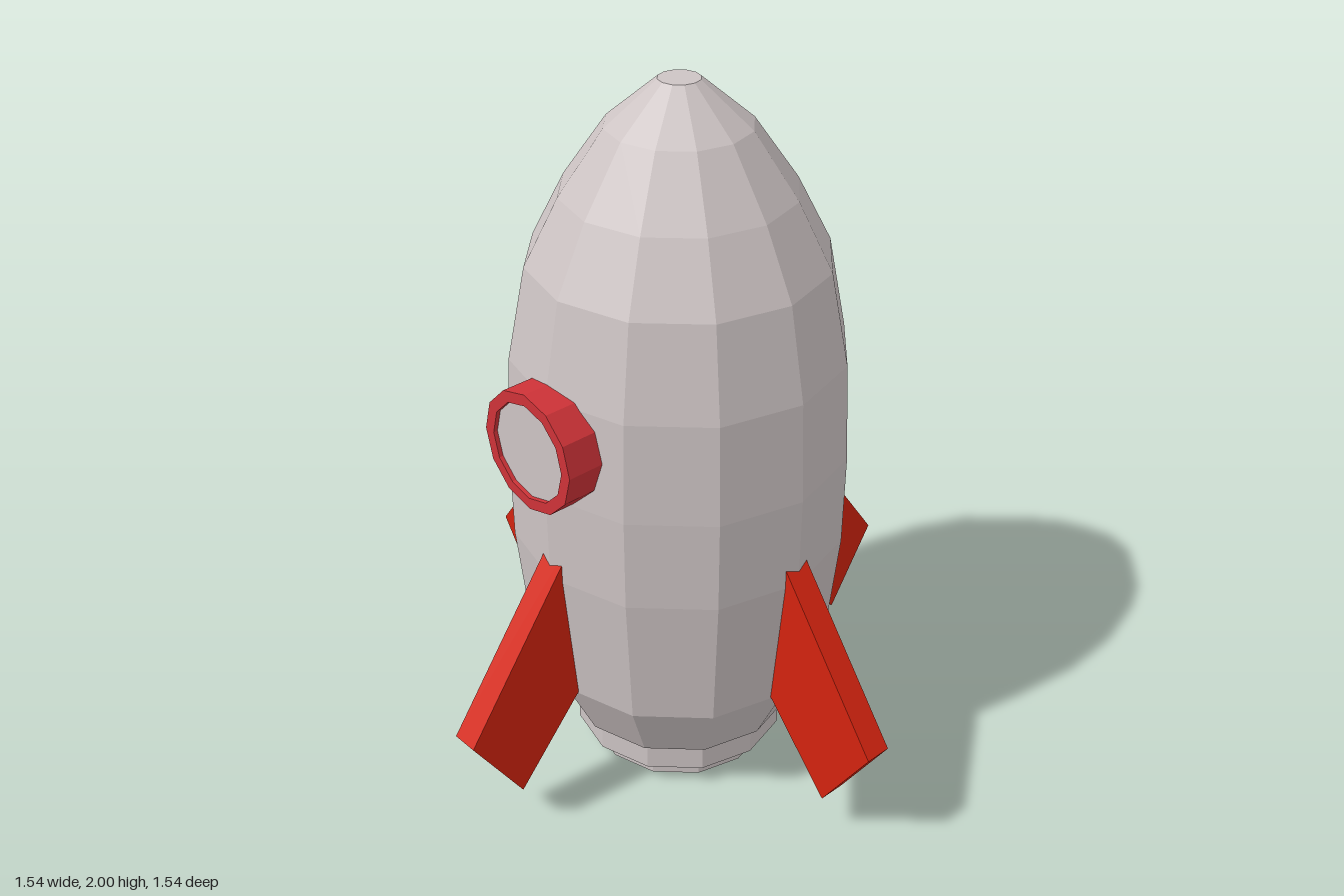
import * as THREE from 'three';

const SIDES = 12;

export function createModel() {
  const rocket = new THREE.Group();
  rocket.name = 'rocket';

  const flat = (name, color) => {
    const m = new THREE.MeshStandardMaterial({ color, flatShading: true });
    m.name = name;
    return m;
  };
  const hullGrey = flat('hullGrey', 0xcdc4c4);
  const finRed = flat('finRed', 0xd3230f);
  const rimRed = flat('rimRed', 0xcf3338);

  const add = (name, geometry, material) => {
    const mesh = new THREE.Mesh(geometry, material);
    mesh.name = name;
    rocket.add(mesh);
    return mesh;
  };

  // Faceted hull, from the flat underside to the blunt nose
  const profile = [
    [0, 0.15], [0.325, 0.15], [0.42, 0.345], [0.46, 0.74], [0.463, 1.0],
    [0.45, 1.28], [0.4, 1.535], [0.308, 1.715], [0.19, 1.885], [0.055, 2], [0, 2],
  ].map(([r, y]) => new THREE.Vector2(r, y));
  add('hull', new THREE.LatheGeometry(profile, SIDES), hullGrey);

  // Stepped engine nozzle
  [['upperNozzle', 0.3, 0.06, 0.16], ['lowerNozzle', 0.253, 0, 0.07]].forEach(([name, r, y0, y1]) => {
    add(name, new THREE.CylinderGeometry(r, r, y1 - y0, SIDES), hullGrey).position.y = (y0 + y1) / 2;
  });

  // Four swept fins whose inner edges sink into the hull
  const finShape = new THREE.Shape([
    [0.36, 0.92], [0.36, 0.407], [0.617, 0.12], [0.77, 0.355],
  ].map(([x, y]) => new THREE.Vector2(x, y)));
  const thickness = 0.076;
  const finGeometry = new THREE.ExtrudeGeometry(finShape, { depth: thickness, bevelEnabled: false });
  finGeometry.translate(0, 0, -thickness / 2);
  ['leftFin', 'backFin', 'rightFin', 'frontFin'].forEach((name, i) => {
    add(name, finGeometry, finRed).rotation.y = (i * Math.PI) / 2;
  });

  // Porthole: a twelve-sided rim around a flat pane
  const ringPoints = (r) => Array.from({ length: SIDES }, (_, i) => {
    const a = (i / SIDES) * Math.PI * 2;
    return new THREE.Vector2(Math.cos(a) * r, Math.sin(a) * r);
  });
  const rimShape = new THREE.Shape(ringPoints(0.167));
  rimShape.holes.push(new THREE.Path(ringPoints(0.135).reverse()));
  add('portholeRim', new THREE.ExtrudeGeometry(rimShape, { depth: 0.115, bevelEnabled: false }), rimRed)
    .position.set(0, 1.152, 0.4);
  add('portholePane', new THREE.CircleGeometry(0.137, SIDES), hullGrey).position.set(0, 1.152, 0.503);

  return rocket;
}
